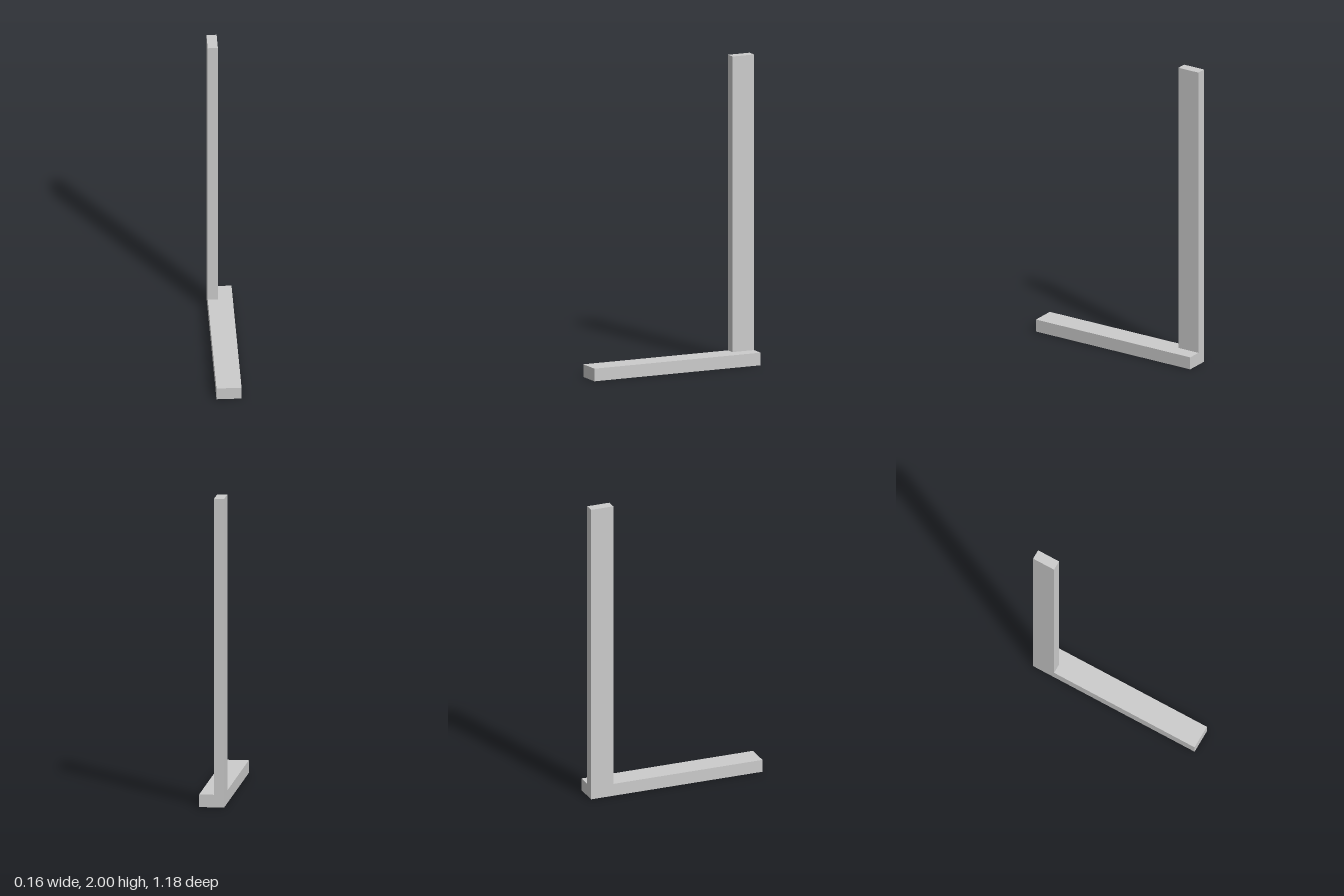
import * as THREE from 'three';

const material = new THREE.MeshStandardMaterial({ color: 0xcccccc });

// Box given by its lower and upper corners
function block(name, min, max) {
  const size = max.map((v, i) => v - min[i]);
  const mesh = new THREE.Mesh(new THREE.BoxGeometry(...size), material);
  mesh.position.set(...max.map((v, i) => (v + min[i]) / 2));
  mesh.name = name;
  return mesh;
}

export function createModel() {
  const group = new THREE.Group();
  group.name = 'uprightOnFoot';

  const halfWidth = 0.08, halfDepth = 0.59, footHeight = 0.082;

  // Long flat foot lying front to back
  group.add(block('foot', [-halfWidth, 0, -halfDepth], [halfWidth, footHeight, halfDepth]));

  // Tall post on the back corner, flush with the foot's back and right sides
  group.add(block('post', [-halfWidth, footHeight, -halfDepth], [-0.015, 2, -0.437]));

  return group;
}
